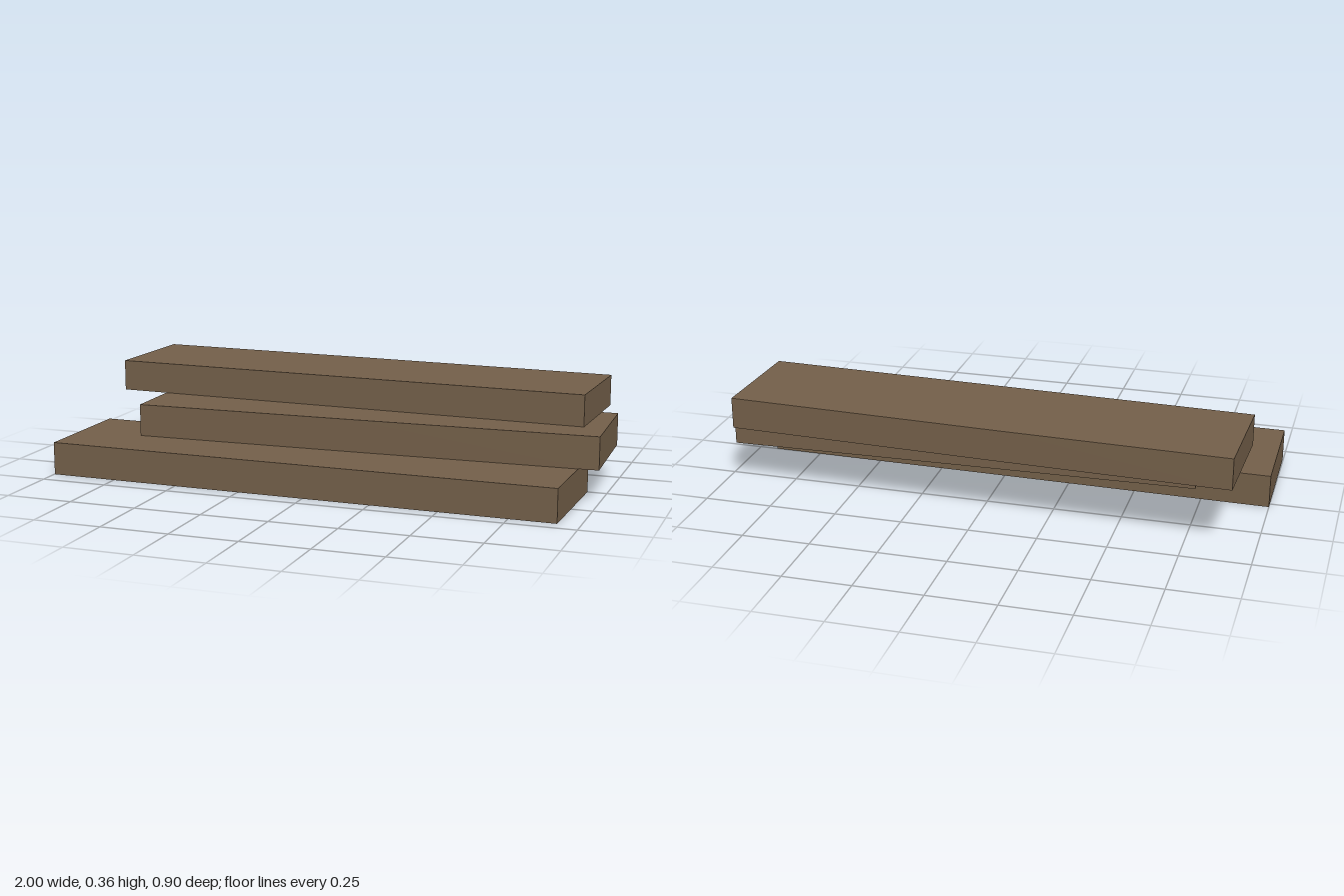
import * as THREE from 'three';

const wood = new THREE.MeshStandardMaterial({ color: 0x735f49 });
wood.name = 'brown wood';

// Plank outline as [x, z] corners, extruded down from its top height
function plank(name, corners, bottom, top) {
  const shape = new THREE.Shape(corners.map(([x, z]) => new THREE.Vector2(x, z)));
  const geometry = new THREE.ExtrudeGeometry(shape, { depth: top - bottom, bevelEnabled: false });
  geometry.rotateX(Math.PI / 2);
  geometry.translate(0, top, 0);
  const mesh = new THREE.Mesh(geometry, wood);
  mesh.name = name;
  return mesh;
}

export function createModel() {
  const group = new THREE.Group();
  group.name = 'plankStack';

  // Each board is slightly skewed and stepped back from the one below
  group.add(
    plank('bottomPlank', [[-1, -0.027], [-0.998, 0.42], [0.5, 0.443], [0.92, 0.448], [0.93, 0]], 0, 0.122),
    plank('middlePlank', [[-0.755, -0.208], [-0.745, 0.206], [0.1, 0.187], [1, 0.16], [0.985, -0.252]], 0.1225, 0.2425),
    plank('topPlank', [[-0.915, -0.45], [-0.93, -0.038], [0.915, 0.026], [0.93, -0.385], [-0.1, -0.425]], 0.243, 0.359),
  );
  return group;
}
